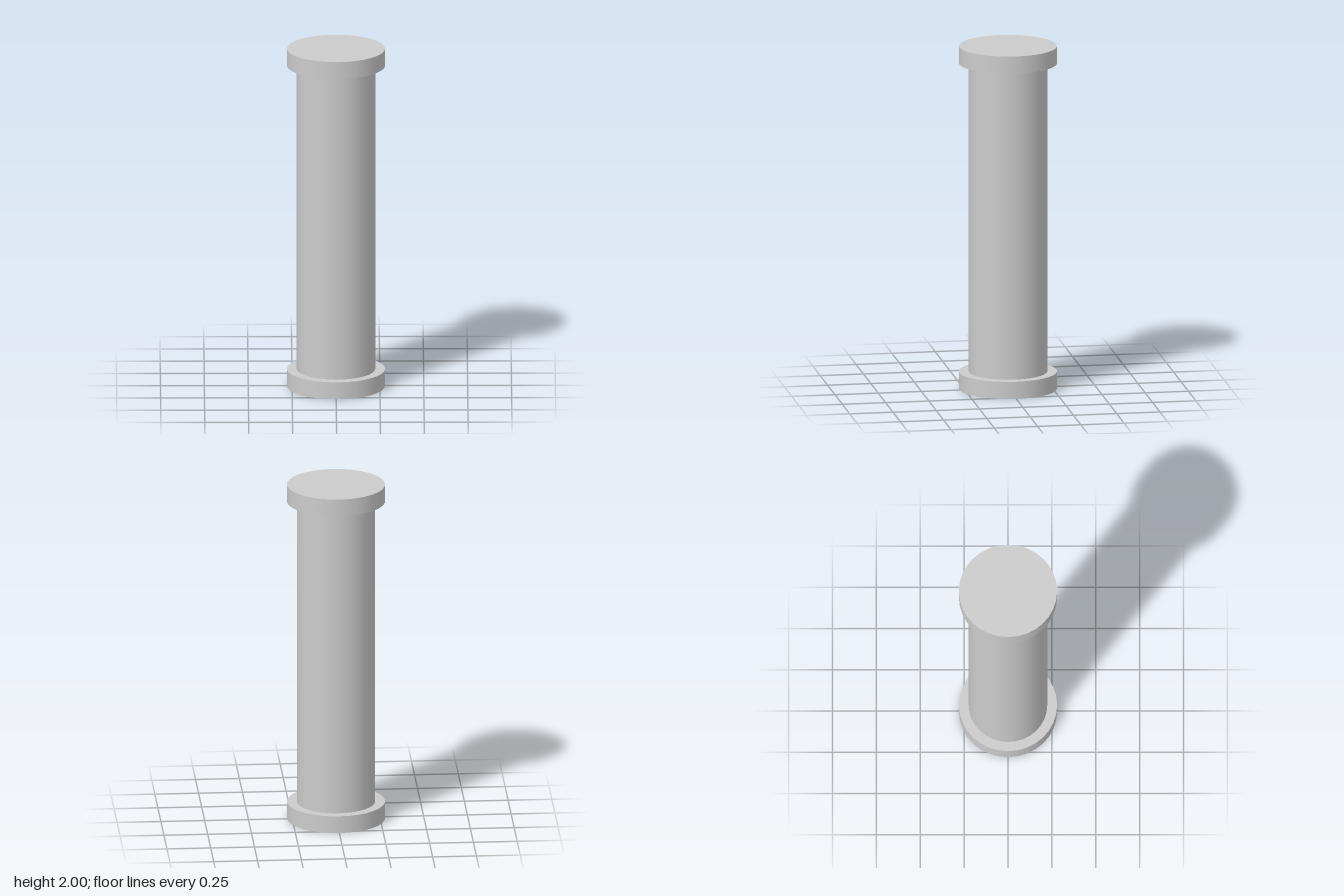
import * as THREE from 'three';

const SIDES = 32;
const HEIGHT = 2;
const CAP_HEIGHT = 0.1;
const CAP_RADIUS = 0.28;
const SHAFT_RADIUS = 0.224;

export function createModel() {
  const model = new THREE.Group();
  model.name = 'column';
  const material = new THREE.MeshStandardMaterial({ color: 0xcccccc });

  // Upright cylinder standing between two heights
  const addCylinder = (name, radius, bottom, top) => {
    const geometry = new THREE.CylinderGeometry(radius, radius, top - bottom, SIDES);
    const mesh = new THREE.Mesh(geometry, material);
    mesh.name = name;
    mesh.position.y = (bottom + top) / 2;
    model.add(mesh);
  };

  // Round plinth, plain shaft and matching capital
  addCylinder('base', CAP_RADIUS, 0, CAP_HEIGHT);
  addCylinder('shaft', SHAFT_RADIUS, CAP_HEIGHT, HEIGHT - CAP_HEIGHT);
  addCylinder('capital', CAP_RADIUS, HEIGHT - CAP_HEIGHT, HEIGHT);

  return model;
}
